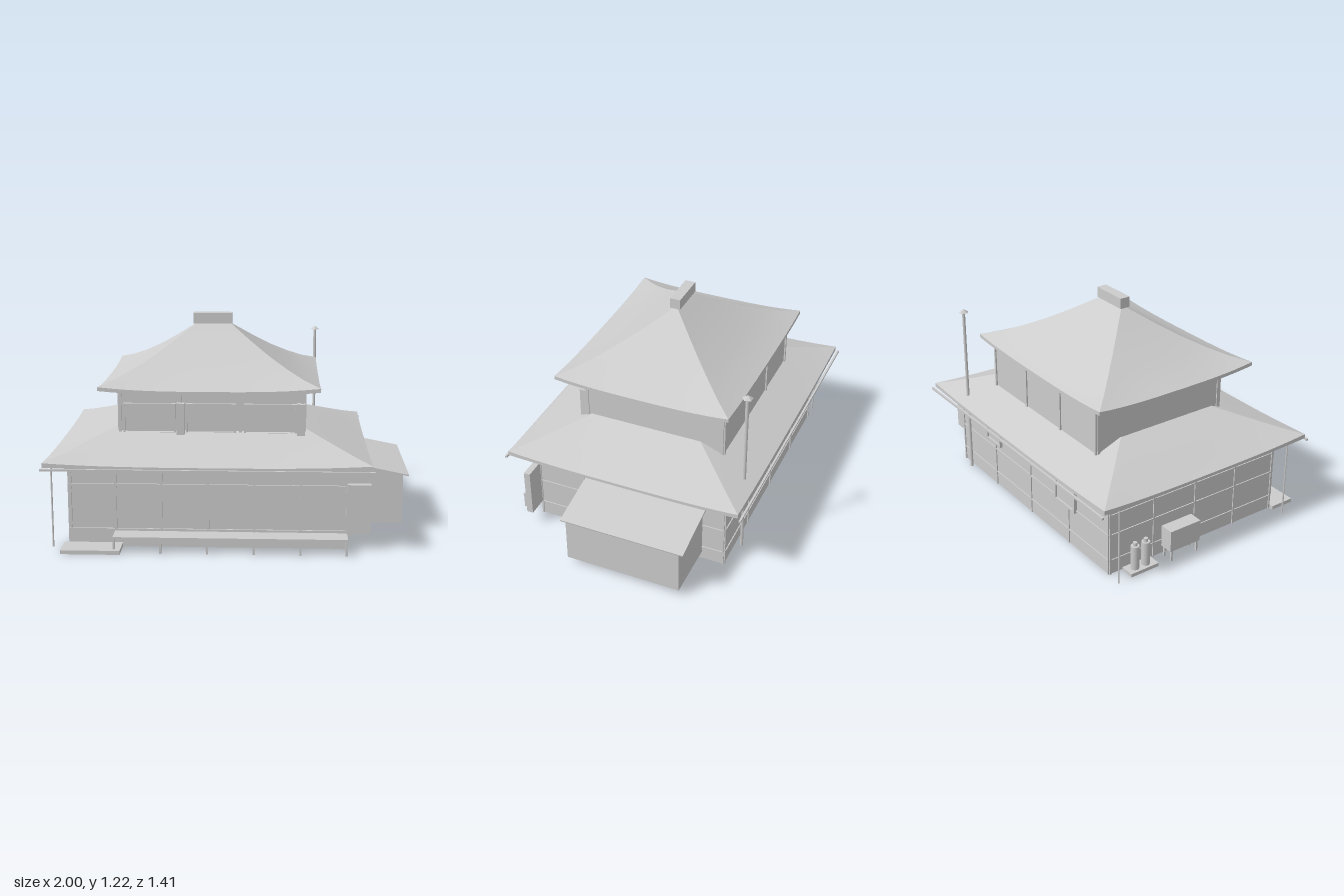
import * as THREE from 'three';
import { mergeGeometries } from 'three/addons/utils/BufferGeometryUtils.js';

const paleGrey = new THREE.MeshStandardMaterial({ color: 0xcccccc, side: THREE.DoubleSide });

export function createModel() {
  const house = new THREE.Group();
  house.name = 'house';

  const add = (name, geometry) => {
    const mesh = new THREE.Mesh(geometry, paleGrey);
    mesh.name = name;
    house.add(mesh);
    return mesh;
  };
  // Box given by its limits on each axis
  const box = (name, x0, x1, y0, y1, z0, z1) => {
    const mesh = add(name, new THREE.BoxGeometry(x1 - x0, y1 - y0, z1 - z0));
    mesh.position.set((x0 + x1) / 2, (y0 + y1) / 2, (z0 + z1) / 2);
    return mesh;
  };
  const rod = (name, x, z, y0, y1, r, sides = 8) => {
    const mesh = add(name, new THREE.CylinderGeometry(r, r, y1 - y0, sides));
    mesh.position.set(x, (y0 + y1) / 2, z);
    return mesh;
  };

  // Hipped roof: strips of [inset, height, corner lift] swept along four sides
  const hipRoof = (name, cx, cz, hx, hz, strips) => {
    const n = 16;
    const parts = [];
    for (let side = 0; side < 4; side++) {
      for (const levels of strips) {
        const positions = [], index = [];
        levels.forEach(([d, y, lift], j) => {
          const a = hx - d, b = hz - d;
          for (let i = 0; i <= n; i++) {
            const t = (2 * i) / n - 1;
            const [x, z] = [[t * a, b], [a, -t * b], [-t * a, -b], [-a, t * b]][side];
            positions.push(cx + x, y + lift * Math.abs(t) ** 3, cz + z);
            if (j > 0 && i < n) {
              const q = j * (n + 1) + i, p = q - n - 1;
              index.push(p, p + 1, q + 1, p, q + 1, q);
            }
          }
        });
        const g = new THREE.BufferGeometry();
        g.setAttribute('position', new THREE.Float32BufferAttribute(positions, 3));
        g.setIndex(index);
        g.computeVertexNormals();
        parts.push(g);
      }
    }
    add(name, mergeGeometries(parts));
  };

  // Ground floor: raised floor block on an open foundation skirt
  const L = -0.87, R = 0.64, B = -0.57, F = 0.56;
  box('groundFloor', L, R, 0.085, 0.485, B, F);
  box('foundationFront', L, R, 0, 0.085, F - 0.015, F);
  box('foundationBack', L, R, 0, 0.085, B, B + 0.015);
  box('foundationLeft', L, L + 0.015, 0, 0.085, B, F);
  box('foundationRight', R - 0.015, R, 0, 0.085, B, F);

  // Lower roof
  hipRoof('lowerRoof', -0.113, -0.003, 0.877, 0.682, [
    [[0.14, 0.475, 0], [0.02, 0.456, 0.008]],
    [[0.02, 0.456, 0.008], [0, 0.46, 0.01]],
    [[0, 0.46, 0.01], [0, 0.477, 0.018]],
    [[0, 0.477, 0.018], [0.09, 0.513, 0.009], [0.18, 0.551, 0.003], [0.28, 0.591, 0], [0.372, 0.626, 0]],
  ]);
  box('lowerRoofTop', -0.61, 0.39, 0.6, 0.625, -0.31, 0.305);

  // Gutters and corner downpipes
  for (const z of [-0.7, 0.69]) box('gutter', -1, 0.775, 0.455, 0.467, z - 0.006, z + 0.006);
  for (const z of [-0.572, 0.578]) rod('downpipe', -0.96, z, 0, 0.465, 0.005, 6);

  // Upper floor and upper roof
  const l = -0.615, r = 0.41, b = -0.465, f = 0.36;
  box('upperFloor', l, r, 0.5, 0.865, b, f);
  hipRoof('upperRoof', -0.11, -0.003, 0.6, 0.513, [
    [[0.14, 0.862, 0], [0.02, 0.832, 0.016]],
    [[0.02, 0.832, 0.016], [0, 0.834, 0.02]],
    [[0, 0.834, 0.02], [0, 0.853, 0.022]],
    [[0, 0.853, 0.022], [0.09, 0.892, 0.012], [0.18, 0.942, 0.004], [0.28, 1.002, 0],
      [0.38, 1.068, 0], [0.46, 1.125, 0], [0.513, 1.163, 0]],
  ]);
  box('ridgeCap', -0.225, -0.005, 1.155, 1.215, -0.032, 0.028);

  // Front sliding doors: posts, rails and panels
  const bays = [-0.615, -0.365, -0.113, 0.138, 0.388, 0.634];
  for (const x of [-0.86, ...bays]) box('frontPost', x - 0.006, x + 0.006, 0.09, 0.47, F, F + 0.012);
  box('doorLintel', L, R, 0.342, 0.356, F, F + 0.01);
  box('doorSill', L, R, 0.092, 0.104, F, F + 0.01);
  box('frontTopRail', L, R, 0.44, 0.452, F, F + 0.008);

  // Veranda deck on legs, and the entrance step
  box('verandaDeck', -0.62, R, 0.082, 0.092, F, 0.685);
  for (const x of bays) box('verandaLeg', x - 0.006, x + 0.006, 0, 0.085, 0.668, 0.682);
  box('entranceStep', -0.9, -0.58, 0, 0.022, F, 0.707);

  // Shutter box at the end of the veranda
  box('shutterBox', 0.635, 0.765, 0.09, 0.368, 0.553, 0.59);

  // Battens on the back and side walls
  const bt = 0.006;
  for (const y of [0.085, 0.24, 0.36]) {
    box('backRail', L, R, y - 0.004, y + 0.004, B - bt, B);
    box('leftRail', L - bt, L, y - 0.004, y + 0.004, B, F);
    box('rightRail', R, R + bt, y - 0.004, y + 0.004, B, F);
  }
  for (const x of [L + 0.006, -0.5, -0.12, 0.26, R - 0.006]) box('backBatten', x - 0.005, x + 0.005, 0, 0.47, B - bt, B);
  for (const z of [B + 0.006, -0.28, 0, 0.28, F - 0.006]) {
    box('leftBatten', L - bt, L, 0, 0.47, z - 0.005, z + 0.005);
    box('rightBatten', R, R + bt, 0, 0.47, z - 0.005, z + 0.005);
  }

  // Framed back windows: centre x, centre y, width, height
  for (const [x, y, w, h] of [[0.265, 0.335, 0.14, 0.1], [-0.48, 0.3, 0.18, 0.13]]) {
    box('backWindowPane', x - w / 2, x + w / 2, y - h / 2, y + h / 2, B - 0.008, B);
    for (const s of [-1, 1]) {
      const ex = x + (s * w) / 2, ey = y + (s * h) / 2;
      box('backWindowJamb', ex - 0.007, ex + 0.007, y - h / 2, y + h / 2, B - 0.018, B);
      box('backWindowRail', x - w / 2 - 0.007, x + w / 2 + 0.007, ey - 0.007, ey + 0.007, B - 0.018, B);
    }
  }

  // Upper floor posts
  for (const x of [l + 0.008, -0.275, 0.055, r - 0.016]) {
    box('upperFrontPost', x - 0.008, x + 0.008, 0.55, 0.85, f, f + 0.013);
  }
  for (const x of [l + 0.008, -0.27, 0.07, r - 0.008]) {
    box('upperBackPost', x - 0.007, x + 0.007, 0.52, 0.86, b - 0.008, b);
  }
  for (const z of [b + 0.008, f - 0.008]) {
    box('upperLeftPost', l - 0.006, l, 0.52, 0.86, z - 0.008, z + 0.008);
    box('upperRightPost', r, r + 0.006, 0.52, 0.86, z - 0.008, z + 0.008);
  }

  // Upper windows with frames, and their shutter boxes
  for (const [x0, x1] of [[-0.59, -0.3], [-0.245, 0.03], [0.075, 0.365]]) {
    box('upperWindowPane', x0, x1, 0.595, 0.757, f, f + 0.007);
    box('upperWindowHead', x0, x1, 0.75, 0.76, f, f + 0.018);
    box('upperWindowSill', x0, x1, 0.59, 0.6, f, f + 0.018);
    for (const x of [x0, x1 - 0.01]) box('upperWindowJamb', x, x + 0.01, 0.59, 0.76, f, f + 0.018);
  }
  for (const x of [-0.295, 0.365]) box('upperShutterBox', x, x + 0.045, 0.585, 0.765, f, 0.4);

  // Side shed with a sloping roof and flashing
  box('shed', R - 0.01, 0.97, 0.045, 0.332, -0.44, 0.225);
  const shedRoof = add('shedRoof', new THREE.BoxGeometry(0.362, 0.008, 0.715));
  shedRoof.position.set(0.823, 0.364, -0.117);
  shedRoof.rotation.z = -0.195;
  for (const z of [-0.44, 0.217]) {
    const gable = new THREE.Shape([[R, 0.33], [0.97, 0.33], [R, 0.397]].map(([x, y]) => new THREE.Vector2(x, y)));
    add('shedGable', new THREE.ExtrudeGeometry(gable, { depth: 0.008, bevelEnabled: false })).position.z = z;
  }
  box('shedFlashing', R, 0.658, 0.395, 0.435, -0.485, 0.265);

  // Flue pipe with a five-sided cap
  rod('fluePipe', 0.485, -0.617, 0.03, 1.035, 0.009);
  const cap = add('flueCap', new THREE.ConeGeometry(0.03, 0.02, 5).toNonIndexed());
  cap.geometry.computeVertexNormals();
  cap.position.set(0.485, 1.045, -0.617);

  // Outdoor unit and gas bottles beside the left wall
  box('outdoorUnit', -0.97, -0.89, 0.065, 0.19, -0.24, -0.04);
  for (const x of [-0.96, -0.9]) {
    for (const z of [-0.225, -0.055]) box('unitLeg', x - 0.005, x + 0.005, 0, 0.065, z - 0.005, z + 0.005);
  }
  box('bottleBase', -0.96, -0.88, 0, 0.02, -0.49, -0.31);
  for (const z of [-0.44, -0.37]) {
    rod('gasBottle', -0.922, z, 0.02, 0.16, 0.024, 12);
    rod('bottleValve', -0.922, z, 0.16, 0.18, 0.012, 8);
  }

  return house;
}
